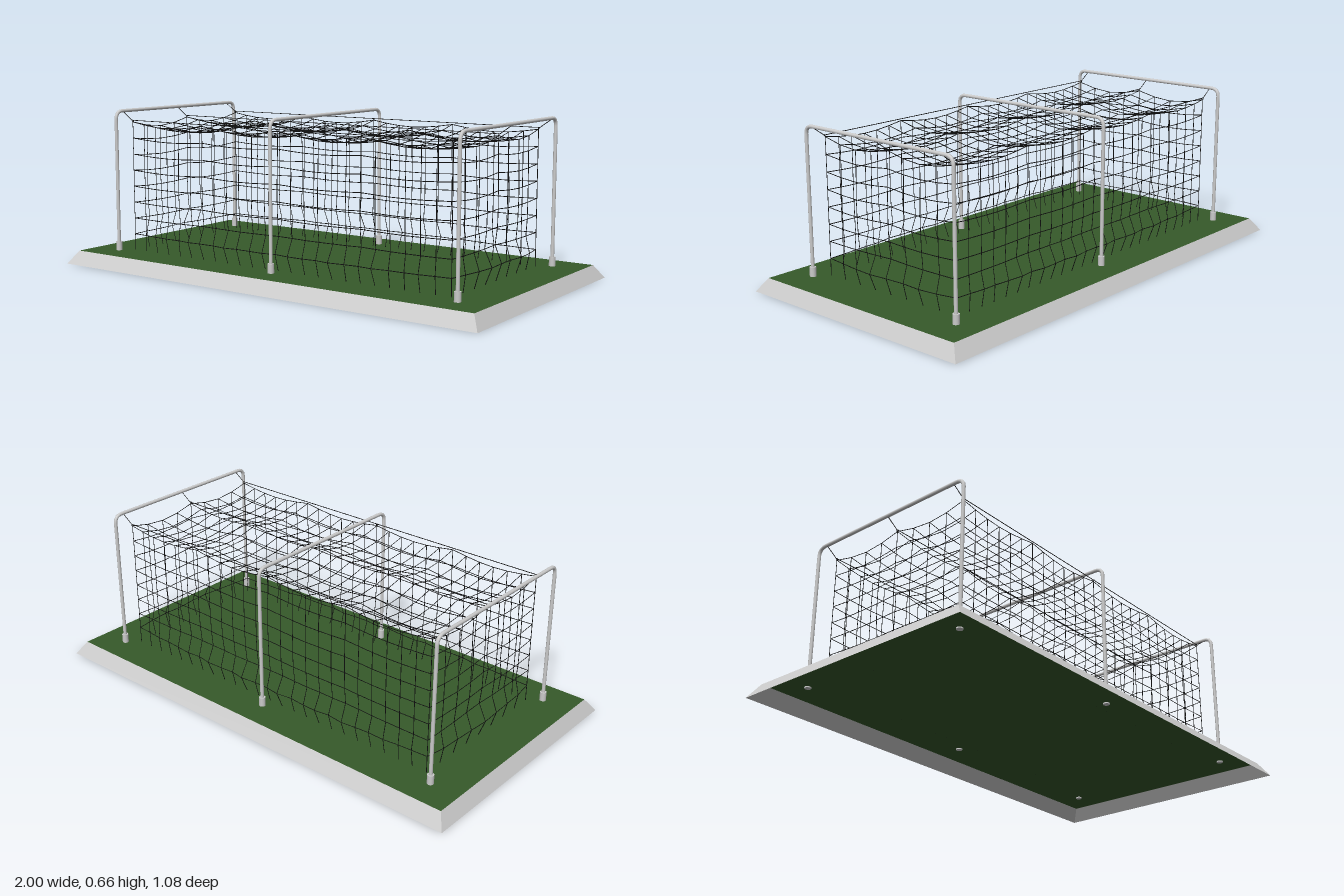
import * as THREE from 'three';
import { mergeGeometries } from 'three/addons/utils/BufferGeometryUtils.js';

const V = (x, y, z) => new THREE.Vector3(x, y, z);
const UP = V(0, 1, 0);
const TURF_Y = 0.055;

// Straight thin strand between two points
function strand(a, b, r, sides = 4) {
  const d = b.clone().sub(a);
  const g = new THREE.CylinderGeometry(r, r, d.length(), sides, 1, true);
  g.applyQuaternion(new THREE.Quaternion().setFromUnitVectors(UP, d.normalize()));
  return g.translate((a.x + b.x) / 2, (a.y + b.y) / 2, (a.z + b.z) / 2);
}

// Net lattice: NX by NY by NZ cells over a box, with sag and slack
const NX = 24, NY = 8, NZ = 8, HX = 0.785, HZ = 0.34, NET_TOP = 0.61;
function netNode(i, j, k) {
  let x = -HX + (2 * HX * i) / NX;
  let z = -HZ + (2 * HZ * k) / NZ;
  const h = j / NY;
  // scallops hang between the cable ties
  const sx = Math.abs(Math.sin((Math.PI * i * 4) / NX));
  const sz = Math.abs(Math.sin((Math.PI * k * 2) / NZ));
  const weight = j === NY ? 1 : 0.55 * h;
  const y = TURF_Y + (NET_TOP - TURF_Y) * h - weight * (0.02 * sx + 0.027 * sz);
  // loose netting bulges just above the ground
  const bulge = [0, 0.022, -0.005, 0.002, 0.004, 0.004, 0.002, 0, 0][j];
  const slack = 1 + 0.25 * Math.sin(i * 2.3 + k * 1.7 + j);
  const fx = Math.min(1, 1.4 * Math.sin((Math.PI * i) / NX));
  const fz = Math.min(1, 1.4 * Math.sin((Math.PI * k) / NZ));
  if (i === 0 || i === NX) x += Math.sign(x) * bulge * slack * fz;
  else if (j === 1) x += 0.004 * Math.sin(i * 1.9);
  if (k === 0 || k === NZ) z += Math.sign(z) * bulge * slack * fx;
  return V(x, y, z);
}

function netGeometry() {
  const parts = [];
  for (let i = 0; i <= NX; i++) for (let j = 0; j <= NY; j++) for (let k = 0; k <= NZ; k++) {
    for (const [a, b, c] of [[1, 0, 0], [0, 1, 0], [0, 0, 1]]) {
      const p = i + a, q = j + b, r = k + c;
      if (p > NX || q > NY || r > NZ) continue;
      // keep edges lying on an end, a side or the roof, but none on the ground
      const onEnd = !a && (i === 0 || i === NX);
      const onSide = !c && (k === 0 || k === NZ);
      const onRoof = !b && j === NY;
      if (!(onEnd || onSide || onRoof) || (j === 0 && !b)) continue;
      parts.push(strand(netNode(i, j, k), netNode(p, q, r), 0.0016));
    }
  }
  return mergeGeometries(parts);
}

// Sloped border around the turf, open underneath
function borderGeometry() {
  const ring = (x, y, z) => [V(-x, y, z), V(x, y, z), V(x, y, -z), V(-x, y, -z)];
  const low = ring(1, 0, 0.54), high = ring(0.965, TURF_Y, 0.5);
  const pos = [];
  for (let i = 0; i < 4; i++) {
    const n = (i + 1) % 4;
    for (const p of [low[i], low[n], high[n], low[i], high[n], high[i]]) pos.push(p.x, p.y, p.z);
  }
  const g = new THREE.BufferGeometry();
  g.setAttribute('position', new THREE.Float32BufferAttribute(pos, 3));
  g.computeVertexNormals();
  return g;
}

// Bent pipe frame running across the cage
function archCurve() {
  const z = 0.387, top = 0.656, r = 0.035, path = new THREE.CurvePath();
  path.add(new THREE.LineCurve3(V(0, 0.05, z), V(0, top - r, z)));
  path.add(new THREE.QuadraticBezierCurve3(V(0, top - r, z), V(0, top, z), V(0, top, z - r)));
  path.add(new THREE.LineCurve3(V(0, top, z - r), V(0, top, r - z)));
  path.add(new THREE.QuadraticBezierCurve3(V(0, top, r - z), V(0, top, -z), V(0, top - r, -z)));
  path.add(new THREE.LineCurve3(V(0, top - r, -z), V(0, 0.05, -z)));
  return path;
}

export function createModel() {
  const group = new THREE.Group();
  const grey = new THREE.MeshStandardMaterial({ color: 0xcccccc });
  const greyOpen = new THREE.MeshStandardMaterial({ color: 0xcccccc, side: THREE.DoubleSide });
  const green = new THREE.MeshStandardMaterial({ color: 0x365a2a, side: THREE.DoubleSide });
  const black = new THREE.MeshStandardMaterial({ color: 0x101010, side: THREE.DoubleSide });
  const add = (name, geometry, material, parent = group) => {
    const mesh = new THREE.Mesh(geometry, material);
    mesh.name = name;
    parent.add(mesh);
    return mesh;
  };

  // Ground
  add('baseBorder', borderGeometry(), greyOpen);
  add('turf', new THREE.PlaneGeometry(1.93, 1).rotateX(-Math.PI / 2).translate(0, TURF_Y, 0), green);

  // Three arches with foot sleeves
  const pipe = new THREE.TubeGeometry(archCurve(), 140, 0.0075, 10);
  const sleeve = new THREE.CylinderGeometry(0.0135, 0.0135, 0.043, 12);
  for (const x of [-0.837, 0, 0.837]) {
    const arch = new THREE.Group();
    arch.name = 'archFrame';
    arch.position.x = x;
    add('archPipe', pipe, greyOpen, arch);
    for (const s of [-1, 1]) {
      add('footSleeve', sleeve, grey, arch).position.set(0, 0.0715, s * 0.387);
    }
    group.add(arch);
  }

  // Suspension cables, tied up to the end arches
  for (const z of [-HZ, 0, HZ]) {
    const pts = [V(-0.837, 0.65, z), V(-0.79, 0.617, z), V(0.79, 0.617, z), V(0.837, 0.65, z)];
    const parts = pts.slice(1).map((p, i) => strand(pts[i], p, 0.0015, 6));
    add('suspensionCable', mergeGeometries(parts), black);
    for (const x of [-HX, 0, HX]) {
      add('cableRing', new THREE.TorusGeometry(0.004, 0.0015, 5, 10).rotateY(Math.PI / 2), black).position.set(x, 0.614, z);
    }
  }

  add('net', netGeometry(), black);
  return group;
}
